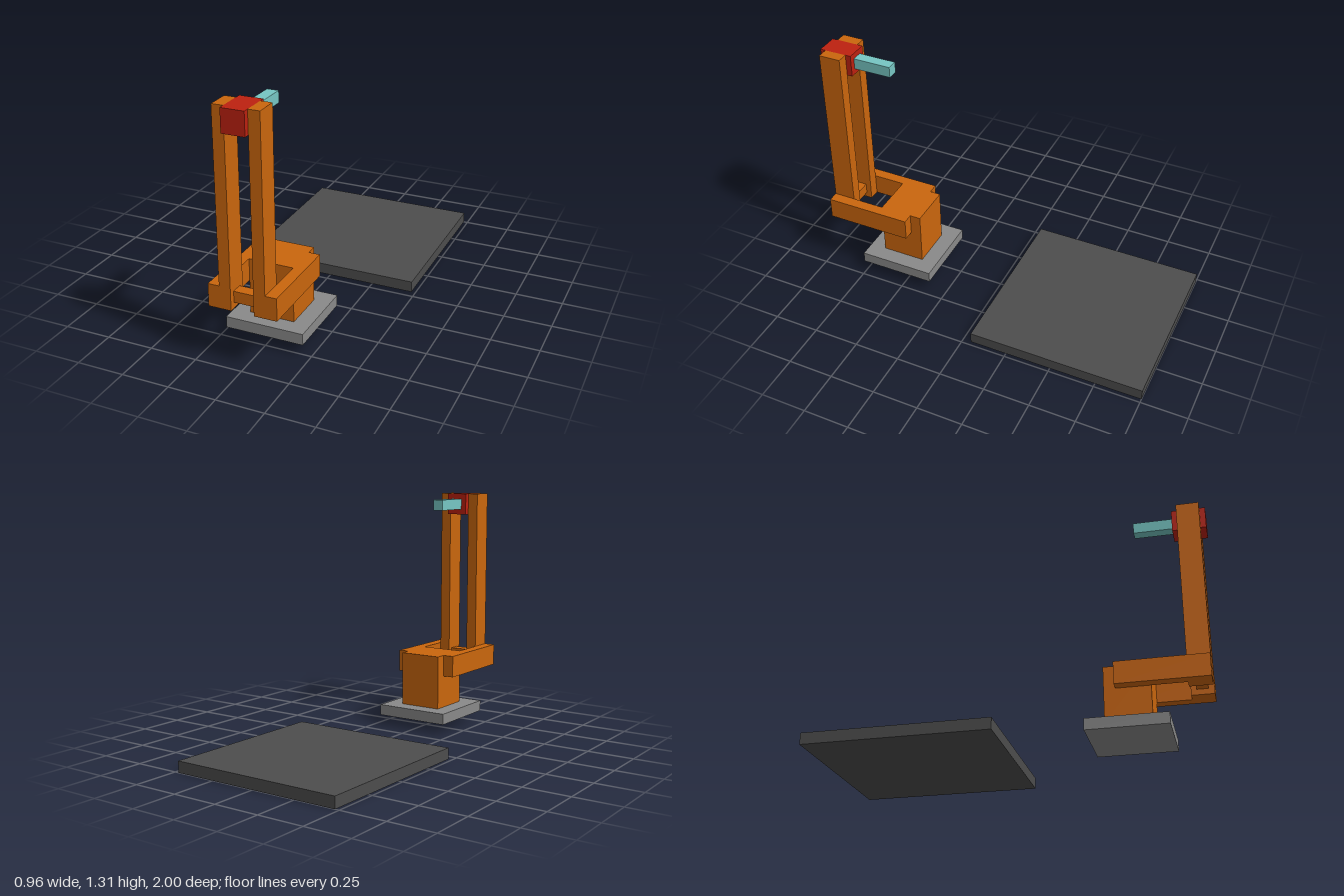
import * as THREE from 'three';

// Every dimension is given in construction units; 33.5 units span the full 2-unit depth.
const U = 2 / 33.5;

const material = (name, color) => {
  const m = new THREE.MeshStandardMaterial({ color });
  m.name = name;
  return m;
};

export function createModel() {
  const model = new THREE.Group();
  model.name = 'catapultAndSlab';

  const darkGrey = material('dark grey', 0x4d4d4d);
  const grey = material('grey', 0x898989);
  const orange = material('orange', 0xca660d);
  const red = material('red', 0xbd2110);
  const teal = material('teal', 0x76c6c3);

  // Box given by its [min, max] range on each axis
  const box = (name, mat, [x0, x1], [y0, y1], [z0, z1]) => {
    const mesh = new THREE.Mesh(
      new THREE.BoxGeometry((x1 - x0) * U, (y1 - y0) * U, (z1 - z0) * U), mat);
    mesh.position.set((x0 + x1) / 2 * U, (y0 + y1) / 2 * U, (z0 + z1) / 2 * U);
    mesh.name = name;
    model.add(mesh);
  };

  // Ground slab behind the machine
  box('slab', darkGrey, [-8, 8], [0, 1], [-16.75, -0.75]);

  // Foot plate and pedestal
  box('footPlate', grey, [-3.5, 3.5], [1, 2], [5.75, 12.75]);
  box('pedestal', orange, [-2, 2], [2, 7], [7.25, 11.25]);

  // Paired lower arms and uprights
  for (const [side, s] of [['left', 1], ['right', -1]]) {
    const span = (a, b) => (s > 0 ? [a, b] : [-b, -a]);
    box(side + 'LowerArm', orange, span(2, 3), [5, 7], [8.25, 16.25]);
    box(side + 'Upright', orange, span(1, 2), [5, 22], [14.25, 16.25]);
  }

  // Axle joining the feet of the uprights
  box('axle', orange, [-1, 1], [5.5, 6.5], [14.75, 15.75]);

  // Head block with its rearward rod
  box('headBlock', red, [-1, 1], [20, 22], [13.75, 16.75]);
  box('rod', teal, [-0.5, 0.5], [20.5, 21.5], [10.25, 13.75]);

  return model;
}
